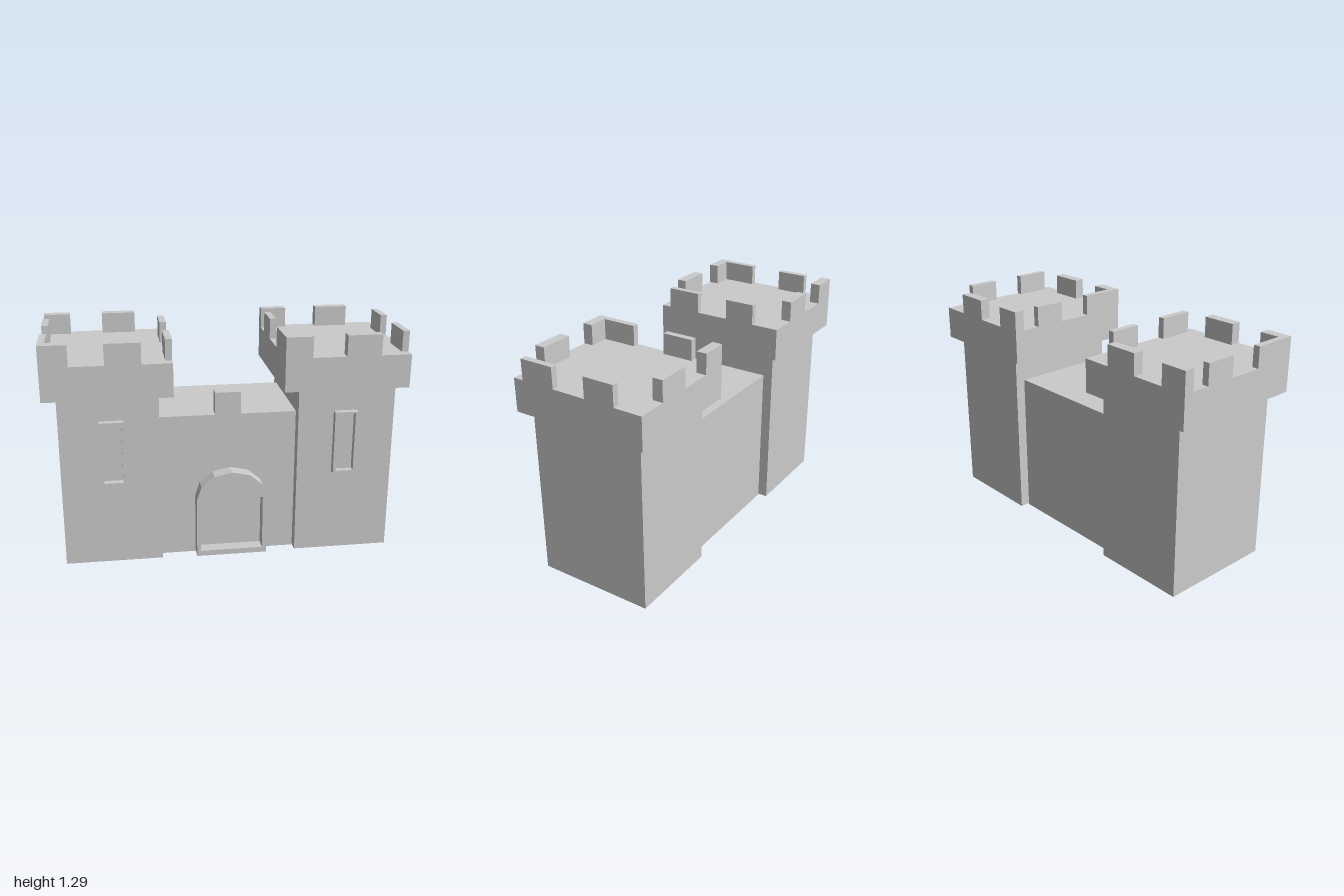
import * as THREE from 'three';

const material = new THREE.MeshStandardMaterial({ color: 0xcccccc, flatShading: true });

// Box given by its limits on each axis
function block(name, [x0, x1], [y0, y1], [z0, z1]) {
  const mesh = new THREE.Mesh(new THREE.BoxGeometry(x1 - x0, y1 - y0, z1 - z0), material);
  mesh.position.set((x0 + x1) / 2, (y0 + y1) / 2, (z0 + z1) / 2);
  mesh.name = name;
  return mesh;
}

function rectangle(PathType, x0, x1, y0, y1) {
  return new PathType([[x0, y0], [x1, y0], [x1, y1], [x0, y1]].map(p => new THREE.Vector2(...p)));
}

// Raised frame: an outline with a rectangular opening, pushed out from the wall
function frame(name, outline, opening, z0, z1) {
  outline.holes.push(rectangle(THREE.Path, ...opening));
  const mesh = new THREE.Mesh(
    new THREE.ExtrudeGeometry(outline, { depth: z1 - z0, bevelEnabled: false }), material);
  mesh.position.z = z0;
  mesh.name = name;
  return mesh;
}

// Tower: shaft, overhanging crown, thin merlons around the edge, framed window
function tower(name, shaftX, crownX, windowX) {
  const group = new THREE.Group();
  group.name = name;
  group.add(block('shaft', shaftX, [0.007, 0.99], [-0.337, 0.34]));
  group.add(block('crown', crownX, [0.99, 1.178], [-0.393, 0.395]));

  const [left, right] = crownX;
  const height = [1.178, 1.295];
  for (const [z0, z1] of [[0.337, 0.395], [-0.393, -0.335]]) {
    for (const [a, b] of [[0, 0.15], [0.338, 0.531]]) {
      group.add(block('merlon', [left + a, left + b], height, [z0, z1]));
    }
  }
  for (const x of [[left, left + 0.037], [right - 0.037, right]]) {
    for (const z of [[0.14, 0.337], [-0.232, -0.055]]) {
      group.add(block('merlon', x, height, z));
    }
  }

  const [w0, w1] = windowX;
  group.add(frame('windowFrame', rectangle(THREE.Shape, w0, w1, 0.49, 0.855),
    [w0 + 0.015, w1 - 0.015, 0.505, 0.845], 0.34, 0.378));
  return group;
}

export function createModel() {
  const castle = new THREE.Group();
  castle.name = 'castle';

  castle.add(tower('rightTower', [-0.925, -0.38], [-1, -0.303], [-0.705, -0.572]));
  castle.add(tower('leftTower', [0.392, 0.94], [0.3, 1], [0.593, 0.724]));

  // Gatehouse wall with a single merlon
  castle.add(block('gateWall', [-0.38, 0.392], [0, 0.84], [-0.28, 0.275]));
  castle.add(block('gateMerlon', [-0.065, 0.08], [0.84, 0.967], [0.212, 0.275]));

  // Arched gate surround with six flat facets
  const arch = [new THREE.Vector2(-0.182, 0.01), new THREE.Vector2(0.22, 0.01)];
  for (let i = 0; i <= 6; i++) {
    const a = (i / 6) * Math.PI;
    arch.push(new THREE.Vector2(0.019 + 0.201 * Math.cos(a), 0.357 + 0.165 * Math.sin(a)));
  }
  castle.add(frame('gateFrame', new THREE.Shape(arch), [-0.16, 0.196, 0.042, 0.36], 0.275, 0.358));
  castle.add(block('gateDoor', [-0.16, 0.196], [0.042, 0.36], [0.275, 0.285]));

  return castle;
}
